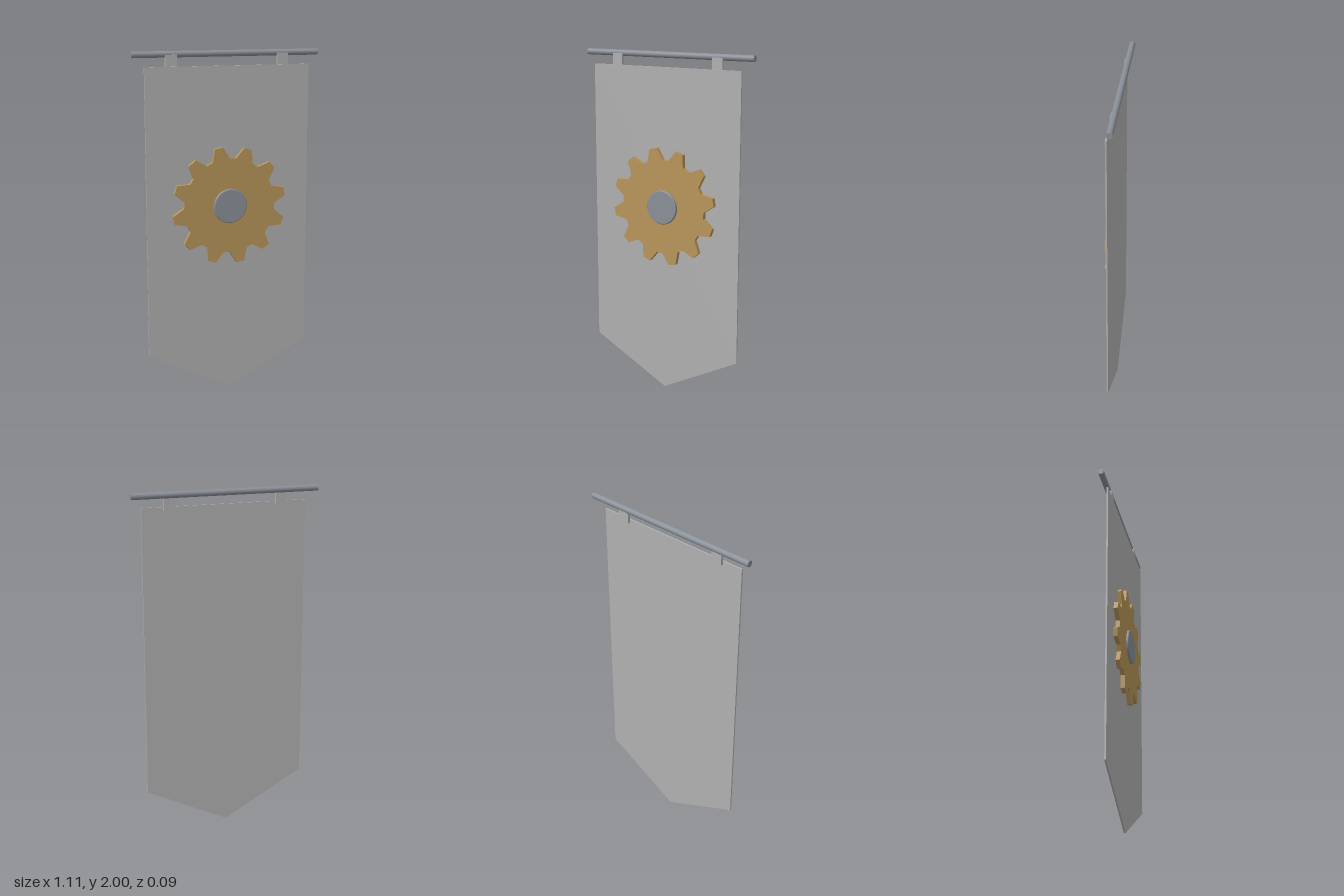
import * as THREE from 'three';

export function createModel() {
  const group = new THREE.Group();
  group.name = 'hangingBanner';

  const mat = (name, color) => {
    const m = new THREE.MeshStandardMaterial({ color });
    m.name = name;
    return m;
  };
  const cloth = mat('grey cloth', 0xb0b0b0);
  const brass = mat('brass', 0xb8955a);
  const steel = mat('steel', 0x8a9098);

  const add = (name, geometry, material, x, y, z) => {
    const mesh = new THREE.Mesh(geometry, material);
    mesh.name = name;
    mesh.position.set(x, y, z);
    group.add(mesh);
    return mesh;
  };
  const extrude = (shape, depth, options = {}) =>
    new THREE.ExtrudeGeometry(shape, { depth, bevelEnabled: false, ...options });

  // Cloth panel with a pointed lower edge
  const panel = new THREE.Shape([
    [-0.49, 1.915], [-0.49, 0.25], [0, 0], [0.49, 0.25], [0.49, 1.915],
  ].map(([x, y]) => new THREE.Vector2(x, y)));
  add('bannerCloth', extrude(panel, 0.009), cloth, 0, 0, -0.006);

  // Twelve-toothed gear, slightly turned
  const teeth = 12;
  const outline = [];
  for (let i = 0; i < teeth; i++) {
    const middle = 11 + (i * 360) / teeth;
    for (const [offset, radius] of [[-11, 0.276], [-4, 0.344], [4, 0.344], [11, 0.276]]) {
      const a = THREE.MathUtils.degToRad(middle + offset);
      outline.push(new THREE.Vector2(radius * Math.cos(a), radius * Math.sin(a)));
    }
  }
  add('gear', extrude(new THREE.Shape(outline), 0.028), brass, 0, 1.115, 0);

  // Hub disc with a softened rim
  const disc = new THREE.Shape().absarc(0, 0, 0.094, 0, Math.PI * 2, false);
  add('gearHub', extrude(disc, 0.012, {
    curveSegments: 24, bevelEnabled: true, bevelSize: 0.006, bevelThickness: 0.006, bevelSegments: 3,
  }), steel, 0, 1.115, 0.0245);

  // Hanging rod
  const rod = add('rod', new THREE.CylinderGeometry(0.0178, 0.0178, 1.11, 24), steel, 0, 1.982, -0.0272);
  rod.rotation.z = Math.PI / 2;

  // Straps joining the cloth to the rod
  for (const side of [-1, 1]) {
    add(side > 0 ? 'leftStrap' : 'rightStrap',
      new THREE.BoxGeometry(0.066, 0.085, 0.015), cloth, side * 0.333, 1.9375, -0.0135);
  }

  return group;
}
